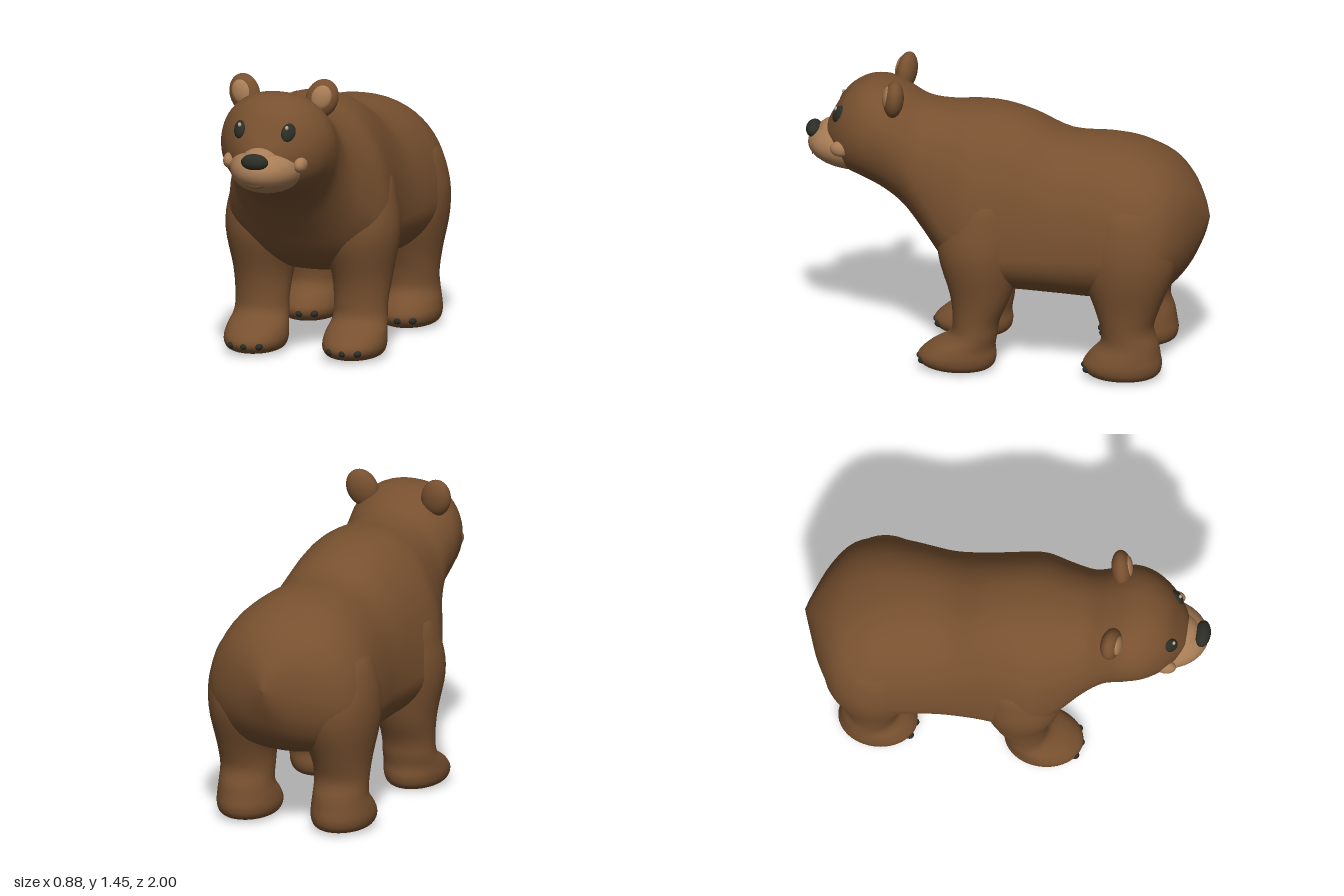
import * as THREE from 'three';

const mat = (name, color) => {
  const m = new THREE.MeshStandardMaterial({ color });
  m.name = name;
  return m;
};

// Uniform Catmull-Rom through rows of numbers
function smoothRows(rows, steps) {
  const out = [];
  const at = i => rows[Math.max(0, Math.min(rows.length - 1, i))];
  for (let i = 0; i < rows.length - 1; i++) {
    const [a, b, c, d] = [at(i - 1), at(i), at(i + 1), at(i + 2)];
    for (let s = 0; s < steps; s++) {
      const t = s / steps;
      out.push(b.map((_, k) => {
        const slope = c[k] - a[k];
        const square = 2 * a[k] - 5 * b[k] + 4 * c[k] - d[k];
        const cube = 3 * (b[k] - c[k]) + d[k] - a[k];
        return b[k] + 0.5 * t * (slope + t * (square + t * cube));
      }));
    }
  }
  out.push(rows[rows.length - 1]);
  return out;
}

// Skin closed rings: place(row, cos, sin) gives each ring point
function loft(rows, place, sides = 40, steps = 4) {
  const rings = smoothRows(rows, steps);
  const pos = [], index = [];
  rings.forEach((row, i) => {
    for (let j = 0; j < sides; j++) {
      const a = (j / sides) * Math.PI * 2;
      pos.push(...place(row, Math.cos(a), Math.sin(a)));
      if (i === rings.length - 1) continue;
      const k = (j + 1) % sides, p = i * sides, q = p + sides;
      index.push(p + j, p + k, q + j, p + k, q + k, q + j);
    }
  });
  const g = new THREE.BufferGeometry();
  g.setAttribute('position', new THREE.Float32BufferAttribute(pos, 3));
  g.setIndex(index);
  g.computeVertexNormals();
  return g;
}

export function createModel() {
  const fur = mat('brown fur', 0x77502f);
  const tan = mat('tan fur', 0xa87d56);
  const dark = mat('dark nose and eyes', 0x2c2d25);
  const glint = mat('eye glint', 0xb9aa92);
  const lip = mat('mouth brown', 0x5e4028);

  const bear = new THREE.Group();
  bear.name = 'bear';
  const add = (name, geometry, material, parent = bear) => {
    const m = new THREE.Mesh(geometry, material);
    m.name = name;
    parent.add(m);
    return m;
  };
  const blob = (name, material, p, r, rot = [0, 0, 0], parent = bear) => {
    const m = add(name, new THREE.SphereGeometry(1, 28, 18), material, parent);
    m.position.set(...p);
    m.scale.set(...r);
    m.rotation.set(...rot);
  };

  // Torso, neck and head: z, top, bottom, widest height, half width
  const trunk = [
    [-1.0, 0.77, 0.77, 0.77, 0],
    [-0.97, 0.87, 0.66, 0.76, 0.08],
    [-0.9, 0.98, 0.52, 0.72, 0.25],
    [-0.8, 1.07, 0.42, 0.68, 0.38],
    [-0.65, 1.135, 0.38, 0.65, 0.43],
    [-0.5, 1.16, 0.365, 0.64, 0.42],
    [-0.3, 1.17, 0.37, 0.63, 0.395],
    [-0.12, 1.25, 0.38, 0.63, 0.395],
    [0.02, 1.288, 0.39, 0.64, 0.41],
    [0.15, 1.295, 0.42, 0.68, 0.415],
    [0.28, 1.29, 0.5, 0.77, 0.36],
    [0.4, 1.305, 0.65, 0.92, 0.3],
    [0.5, 1.355, 0.77, 1.07, 0.282],
    [0.6, 1.395, 0.85, 1.14, 0.288],
    [0.7, 1.39, 0.9, 1.14, 0.265],
    [0.79, 1.335, 0.935, 1.13, 0.207],
    [0.85, 1.24, 0.98, 1.12, 0.14],
    [0.89, 1.16, 1.04, 1.1, 0.07],
    [0.9, 1.1, 1.1, 1.1, 0],
  ];
  add('body', loft(trunk, ([z, top, bottom, mid, w], c, s) => [
    w * Math.sign(c) * Math.pow(Math.abs(c), 0.87),
    mid + s * (s > 0 ? top - mid : mid - bottom),
    z,
  ], 56), fur);

  // Legs: y, centre x, centre z, half width, half depth
  const foreleg = [
    [0.005, 0.255, 0.2, 0, 0],
    [0.008, 0.255, 0.2, 0.09, 0.12],
    [0.03, 0.255, 0.21, 0.138, 0.177],
    [0.075, 0.255, 0.21, 0.155, 0.193],
    [0.13, 0.255, 0.185, 0.15, 0.163],
    [0.19, 0.255, 0.13, 0.137, 0.118],
    [0.27, 0.255, 0.115, 0.135, 0.117],
    [0.4, 0.255, 0.095, 0.15, 0.152],
    [0.6, 0.245, 0.1, 0.195, 0.205],
    [0.76, 0.235, 0.09, 0.19, 0.2],
    [0.92, 0.2, 0.07, 0.165, 0.16],
    [1.02, 0.15, 0.06, 0, 0],
  ];
  const hindLeg = [
    [0.005, 0.255, -0.61, 0, 0],
    [0.008, 0.255, -0.61, 0.09, 0.12],
    [0.03, 0.255, -0.608, 0.138, 0.177],
    [0.075, 0.255, -0.607, 0.155, 0.195],
    [0.13, 0.255, -0.62, 0.15, 0.175],
    [0.19, 0.255, -0.642, 0.137, 0.143],
    [0.27, 0.255, -0.63, 0.137, 0.132],
    [0.38, 0.255, -0.63, 0.15, 0.165],
    [0.58, 0.235, -0.63, 0.205, 0.24],
    [0.76, 0.225, -0.63, 0.205, 0.23],
    [0.92, 0.18, -0.62, 0.18, 0.18],
    [1.02, 0.14, -0.6, 0, 0],
  ];
  for (const side of [1, -1]) {
    const tag = side > 0 ? 'left' : 'right';
    for (const [kind, rows, toe] of [['Foreleg', foreleg, 0.39], ['HindLeg', hindLeg, -0.425]]) {
      add(tag + kind, loft(rows, ([y, cx, cz, rx, rz], c, s) =>
        [side * cx + rx * c, y, cz - rz * s]), fur);
      // Claws on the front of the paw
      for (const i of [-1, 0, 1])
        blob(tag + kind + 'Claw', dark, [side * 0.255 + i * 0.07, 0.057, toe - 0.018 * Math.abs(i)],
          [0.02, 0.018, 0.022]);
    }

    // Ear with tan inside
    const ear = new THREE.Group();
    ear.name = tag + 'Ear';
    ear.position.set(side * 0.2, 1.36, 0.535);
    ear.rotation.set(-0.1, side * 0.15, -side * 0.35);
    bear.add(ear);
    blob('earShell', fur, [0, 0, 0], [0.08, 0.098, 0.05], [0, 0, 0], ear);
    blob('innerEar', tan, [0, 0.008, 0.03], [0.052, 0.063, 0.026], [0, 0, 0], ear);

    // Eye with glint
    blob(tag + 'Eye', dark, [side * 0.126, 1.24, 0.818], [0.036, 0.048, 0.022],
      [-0.45, side * 0.6, -side * 0.2]);
    blob(tag + 'EyeGlint', glint, [side * 0.122, 1.266, 0.834], [0.009, 0.011, 0.008]);

    // Cheek patch
    blob(tag + 'Cheek', tan, [side * 0.182, 1.08, 0.8], [0.033, 0.04, 0.052]);
  }

  // Muzzle, nose and mouth
  blob('muzzle', tan, [0, 1.05, 0.74], [0.185, 0.127, 0.25]);
  blob('muzzleBridge', tan, [0, 1.1, 0.85], [0.1, 0.075, 0.095]);
  blob('nose', dark, [0, 1.112, 0.96], [0.069, 0.041, 0.04]);
  const mouth = new THREE.QuadraticBezierCurve3(
    new THREE.Vector3(-0.04, 0.995, 0.955),
    new THREE.Vector3(0, 0.982, 0.975),
    new THREE.Vector3(0.04, 0.995, 0.955));
  add('mouth', new THREE.TubeGeometry(mouth, 12, 0.006, 8), lip);

  return bear;
}
